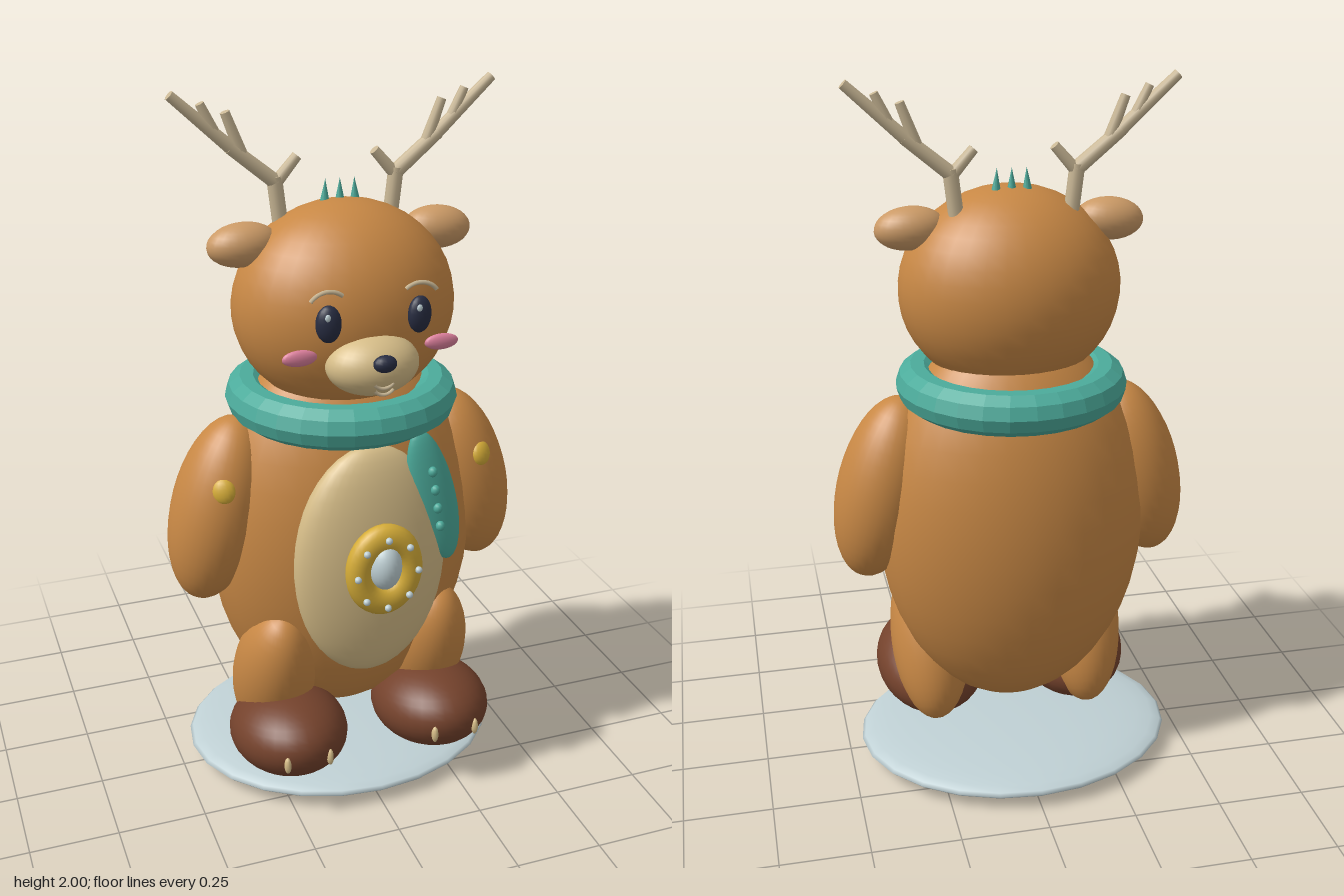
import * as THREE from 'three';

const mat = (name, color, extra = {}) => {
  const m = new THREE.MeshStandardMaterial({ color, ...extra });
  m.name = name;
  return m;
};

export function createModel() {
  const root = new THREE.Group();
  root.name = 'deerFigure';

  const fur = mat('brown fur', 0xc88845);
  const hoof = mat('dark brown', 0x74422c);
  const cream = mat('cream', 0xd6bd88);
  const teal = mat('teal', 0x4cab9b);
  const tealFlat = teal;
  const gold = mat('gold', 0xd6ad38);
  const silver = mat('pale silver', 0xbfd0d4);
  const navy = mat('navy', 0x282d42);
  const pink = mat('pink', 0xdc7f9c);
  const tan = mat('ear tan', 0xcb9a66);
  const horn = mat('antler beige', 0xc9b795);

  const add = (name, geo, material, pos = [0, 0, 0], rot = [0, 0, 0], parent = root) => {
    const m = new THREE.Mesh(geo, material);
    m.name = name;
    m.position.set(...pos);
    m.rotation.set(...rot);
    parent.add(m);
    return m;
  };
  const ball = (name, material, pos, radii, rot, seg = 32) =>
    add(name, new THREE.SphereGeometry(1, seg, Math.round(seg * 0.67)).scale(...radii), material, pos, rot);

  // tapered round bar between two points
  const bar = (name, a, b, r0, r1, parent) => {
    const p = new THREE.Vector3(...a), q = new THREE.Vector3(...b);
    const d = q.clone().sub(p);
    const m = add(name, new THREE.CylinderGeometry(r1, r0, d.length(), 10), horn,
      p.clone().add(q).multiplyScalar(0.5).toArray(), [0, 0, 0], parent);
    m.quaternion.setFromUnitVectors(new THREE.Vector3(0, 1, 0), d.normalize());
  };

  // stand, body and head
  ball('stand', silver, [0, 0.048, -0.02], [0.465, 0.045, 0.39], [0, 0, 0], 24);
  ball('body', fur, [0, 0.74, 0], [0.39, 0.58, 0.28]);
  ball('belly', cream, [0, 0.737, 0.245], [0.22, 0.348, 0.09]);
  ball('head', fur, [0, 1.42, 0.025], [0.31, 0.285, 0.248]);

  // face
  ball('muzzle', cream, [0, 1.322, 0.25], [0.127, 0.083, 0.097]);
  ball('nose', navy, [0, 1.352, 0.343], [0.032, 0.023, 0.022], [0, 0, 0], 16);
  for (const [y, r] of [[1.315, 0.032], [1.298, 0.032]]) {
    add('smile', new THREE.TorusGeometry(r, 0.005, 6, 12, 1.9), horn, [0, y, 0.338], [0, 0, -Math.PI / 2 - 0.95]);
  }

  // scarf with hanging tail and beads
  const ring = new THREE.TorusGeometry(0.264, 0.061, 10, 28).rotateX(Math.PI / 2).toNonIndexed();
  ring.computeVertexNormals();
  add('scarf', ring, tealFlat, [0, 1.153, 0.005]);
  ball('scarfTail', teal, [0.175, 0.92, 0.273], [0.063, 0.207, 0.034], [0, 0, 0.25]);
  for (let i = 0; i < 4; i++) {
    ball('scarfBead', teal, [0.156 + i * 0.009, 1.01 - i * 0.056, 0.308], [0.013, 0.015, 0.013], [0, 0, 0], 12);
  }

  // chest medallion
  add('medallionRing', new THREE.TorusGeometry(0.074, 0.036, 14, 36).scale(1, 1.23, 0.9), gold, [0, 0.765, 0.355]);
  ball('medallionPlate', gold, [0, 0.765, 0.345], [0.08, 0.1, 0.028]);
  ball('medallionGem', silver, [0, 0.78, 0.36], [0.047, 0.07, 0.05], [0, 0, 0], 24);
  for (let i = 0; i < 8; i++) {
    const a = i * Math.PI / 4;
    ball('medallionStud', silver, [0.087 * Math.cos(a), 0.765 + 0.102 * Math.sin(a), 0.39],
      [0.01, 0.01, 0.01], [0, 0, 0], 10);
  }

  // hair tuft
  for (const x of [-0.042, 0, 0.042]) {
    add('hairSpike', new THREE.ConeGeometry(0.017, 0.08, 10), teal, [x, 1.715, -0.003], [0, 0, x * 0.8]);
  }

  // mirrored parts
  for (const s of [-1, 1]) {
    const side = s > 0 ? 'left' : 'right';
    ball(side + 'Arm', fur, [s * 0.37, 0.855, 0.018], [0.132, 0.277, 0.138], [0, 0, s * 0.25]);
    ball(side + 'ArmPatch', gold, [s * 0.38, 0.958, 0.131], [0.033, 0.037, 0.02], [-0.3, s * 0.35, 0], 16);
    ball(side + 'Leg', fur, [s * 0.235, 0.33, 0.085], [0.12, 0.263, 0.134], [0.436, 0, 0]);
    ball(side + 'Foot', hoof, [s * 0.222, 0.19, 0.172], [0.168, 0.125, 0.215], [-0.2, 0, 0]);
    for (const x of [0.16, 0.285]) {
      ball(side + 'Toe', cream, [s * x, 0.2, 0.368], [0.01, 0.026, 0.012], [0, 0, 0], 10);
    }

    ball(side + 'Ear', tan, [s * 0.275, 1.602, 0.01], [0.097, 0.059, 0.061], [0, 0, -s * 0.06], 24);
    ball(side + 'Eye', navy, [s * 0.125, 1.447, 0.264], [0.034, 0.05, 0.023], [0, s * 0.2, 0], 20);
    ball(side + 'EyeGlint', silver, [s * 0.125 - 0.008, 1.47, 0.284], [0.008, 0.01, 0.005], [0, 0, 0], 10);
    ball(side + 'Cheek', pink, [s * 0.197, 1.357, 0.245], [0.048, 0.022, 0.013], [0, 0, 0], 20);
    add(side + 'Brow', new THREE.TorusGeometry(0.06, 0.006, 6, 12, 1.6), horn,
      [s * 0.125, 1.472, 0.262], [0, 0, Math.PI / 2 - 0.8 - s * 0.1]);

    // antler: bent beam with three tines
    const antler = new THREE.Group();
    antler.name = side + 'Antler';
    root.add(antler);
    const z = -0.034;
    const P = (x, y) => [s * x, y, z];
    bar('beamBase', P(0.155, 1.62), P(0.172, 1.765), 0.021, 0.021, antler);
    bar('beamMiddle', P(0.168, 1.75), P(0.29, 1.85), 0.021, 0.019, antler);
    bar('beamTip', P(0.28, 1.842), P(0.443, 1.99), 0.019, 0.014, antler);
    bar('innerTine', P(0.165, 1.75), P(0.108, 1.815), 0.017, 0.014, antler);
    bar('middleTine', P(0.255, 1.82), P(0.3, 1.94), 0.017, 0.013, antler);
    bar('outerTine', P(0.325, 1.88), P(0.365, 1.965), 0.016, 0.012, antler);
  }

  return root;
}
